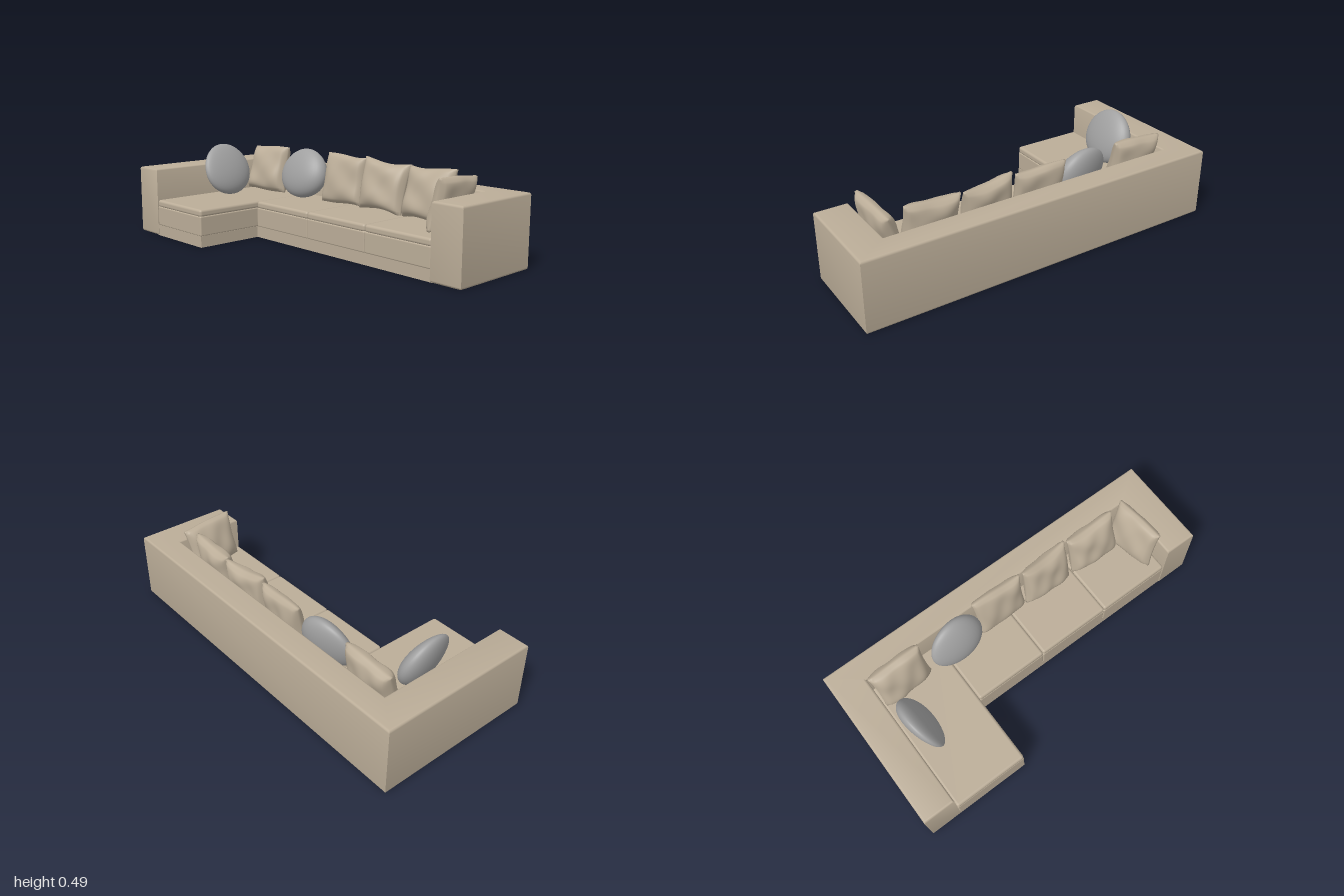
import * as THREE from 'three';
import { RoundedBoxGeometry } from 'three/addons/geometries/RoundedBoxGeometry.js';
import { mergeVertices, toCreasedNormals } from 'three/addons/utils/BufferGeometryUtils.js';

const fabric = new THREE.MeshStandardMaterial({ color: 0xbbad98 });
fabric.name = 'beigeFabric';
const grey = new THREE.MeshStandardMaterial({ color: 0xa0a0a0 });
grey.name = 'greyFabric';

// Floor plan given as [x, z] points, raised from y0 to y1 with softened edges
function slab(points, y0, y1, bevel) {
  const shape = new THREE.Shape(points.map(([x, z]) => new THREE.Vector2(x, -z)));
  const geo = new THREE.ExtrudeGeometry(shape, {
    depth: y1 - y0 - 2 * bevel, bevelEnabled: bevel > 0, bevelThickness: bevel,
    bevelSize: bevel, bevelOffset: -bevel, bevelSegments: 4,
  });
  geo.rotateX(-Math.PI / 2).translate(0, y0 + bevel, 0);
  return toCreasedNormals(geo, 0.6);
}

function roundedBox(x0, x1, y0, y1, z0, z1, r) {
  return new RoundedBoxGeometry(x1 - x0, y1 - y0, z1 - z0, 3, r)
    .translate((x0 + x1) / 2, (y0 + y1) / 2, (z0 + z1) / 2);
}

function smooth(geo) {
  geo.deleteAttribute('uv');
  geo.deleteAttribute('normal');
  const merged = mergeVertices(geo, 1e-5);
  merged.computeVertexNormals();
  return merged;
}

// Square pillow: full in the middle, thin at the seam, corners drawn out, light creases
function squarePillow(w, h, t, seed) {
  const geo = new THREE.BoxGeometry(2, 2, 2, 24, 24, 2);
  const p = geo.attributes.position;
  for (let i = 0; i < p.count; i++) {
    const u = p.getX(i), v = p.getY(i), s = p.getZ(i);
    const full = Math.pow(Math.max(0, (1 - u ** 4) * (1 - v ** 4)), 0.5);
    const crease = 1 + 0.1 * Math.sin(3 * u + 4 * v + seed) + 0.06 * Math.sin(7 * u - 3 * v + seed * 2);
    const sag = 1 - 0.15 * v;
    p.setXYZ(i,
      u * w / 2 * (1 - 0.05 * (1 - v * v)),
      v * h / 2 * (1 - 0.05 * (1 - u * u)) + 0.006 * Math.sin(2.5 * u + seed) * v,
      s * (0.007 + t / 2 * full * crease * sag) + 0.008 * u * v * Math.sin(seed));
  }
  return smooth(geo);
}

// Round pillow: flattened ball, fuller at the bottom and towards one side
function roundPillow(w, h, t) {
  const geo = new THREE.SphereGeometry(1, 40, 28);
  const p = geo.attributes.position;
  for (let i = 0; i < p.count; i++) {
    const x = p.getX(i), y = p.getY(i), z = p.getZ(i);
    p.setXYZ(i, x * w / 2 * (1 - 0.05 * y), y * h / 2,
      z * t / 2 * (1 + 0.22 * x - 0.15 * y));
  }
  return smooth(geo);
}

export function createModel() {
  const sofa = new THREE.Group();
  sofa.name = 'cornerSofa';
  const add = (name, geo, mat = fabric) => {
    const mesh = new THREE.Mesh(geo, mat);
    mesh.name = name;
    sofa.add(mesh);
    return mesh;
  };

  // Back and both arms in one U-shaped frame
  add('backAndArms', slab([
    [-1, -0.447], [1, -0.447], [1, 0.07], [0.825, 0.07], [0.825, -0.31],
    [-0.828, -0.31], [-0.828, 0.447], [-1, 0.447],
  ], 0, 0.375, 0.012));

  // Plinth under the seats
  add('base', slab([
    [-0.84, -0.43], [0.84, -0.43], [0.84, 0.064], [-0.417, 0.064], [-0.417, 0.445], [-0.84, 0.445],
  ], 0, 0.062, 0));

  // Seats: a block with a softer pad on top; the first one is the chaise
  const edges = [-0.828, -0.416, -0.002, 0.411, 0.825];
  for (let i = 0; i < 4; i++) {
    const front = i === 0 ? 0.447 : 0.067;
    const name = i === 0 ? 'chaise' : 'seat' + i;
    add(name + 'Block', roundedBox(edges[i], edges[i + 1], 0.06, 0.168, -0.32, front, 0.008));
    add(name + 'Pad', roundedBox(edges[i], edges[i + 1], 0.163, 0.203, -0.32, front, 0.014));
  }

  // Square pillows: position, yaw, lean, roll, width, height, thickness
  [
    [-0.673, 0.333, -0.242, 0.03, -0.24, 0.02, 0.295, 0.27, 0.10],
    [-0.048, 0.335, -0.255, 0, -0.17, 0, 0.292, 0.272, 0.08],
    [0.25, 0.335, -0.247, 0.06, -0.2, -0.05, 0.288, 0.265, 0.095],
    [0.555, 0.333, -0.242, -0.03, -0.24, 0.01, 0.292, 0.268, 0.10],
    [0.768, 0.333, -0.142, -Math.PI / 2 + 0.1, -0.27, 0.05, 0.295, 0.265, 0.08],
  ].forEach(([x, y, z, yaw, lean, roll, w, h, t], i) => {
    const mesh = add('squarePillow' + (i + 1), squarePillow(w, h, t, 1 + i * 1.7));
    mesh.position.set(x, y, z);
    mesh.rotation.set(lean, yaw, roll, 'YXZ');
  });

  // Round grey pillows
  [
    [-0.345, 0.341, -0.222, 0.12, -0.3, 0.315, 0.282, 0.135],
    [-0.737, 0.348, 0.028, Math.PI / 2 + 0.08, -0.34, 0.315, 0.3, 0.115],
  ].forEach(([x, y, z, yaw, lean, w, h, t], i) => {
    const mesh = add('roundPillow' + (i + 1), roundPillow(w, h, t), grey);
    mesh.position.set(x, y, z);
    mesh.rotation.set(lean, yaw, 0, 'YXZ');
  });

  return sofa;
}
